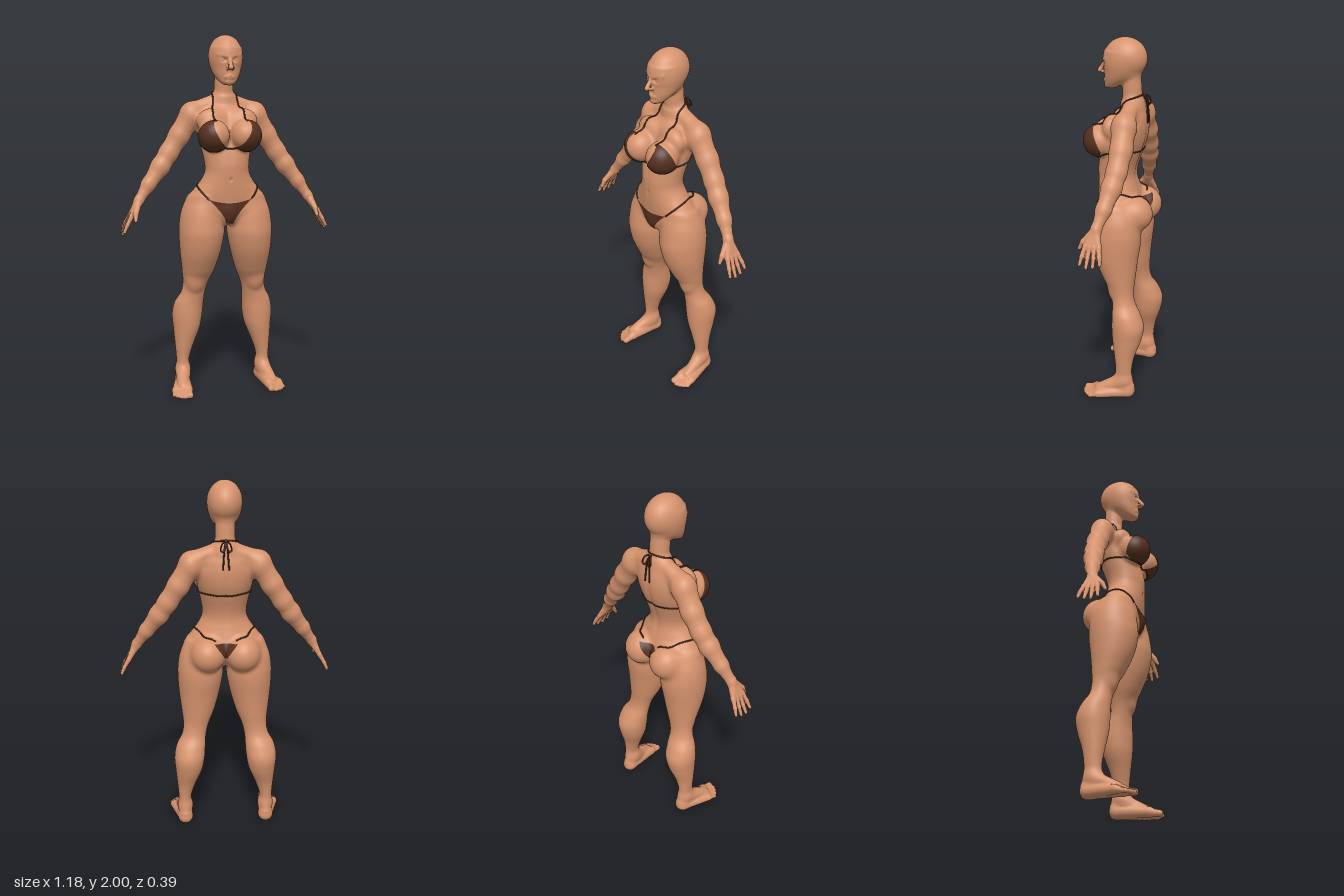
import * as THREE from 'three';

const skin = new THREE.MeshStandardMaterial({ color: 0xd6936d });
skin.name = 'skin';
const fabric = new THREE.MeshStandardMaterial({ color: 0x55301f, side: THREE.DoubleSide });
fabric.name = 'brown fabric';

// ---- Distance-field shapes, joined with a soft blend ----
const smin = (a, b, k) => { const h = Math.max(k - Math.abs(a - b), 0) / k; return Math.min(a, b) - h * h * k / 4; };
const smax = (a, b, k) => -smin(-a, -b, k);
const blend = (shapes, k) => (x, y, z) => shapes.reduce((d, s) => smin(d, s(x, y, z), k), 9);

const ellipsoid = (cx, cy, cz, rx, ry, rz) => (x, y, z) => {
  const a = (x - cx) / rx, b = (y - cy) / ry, c = (z - cz) / rz;
  const k0 = Math.sqrt(a * a + b * b + c * c) + 1e-9;
  const k1 = Math.sqrt((a / rx) ** 2 + (b / ry) ** 2 + (c / rz) ** 2) + 1e-9;
  return k0 * (k0 - 1) / k1;
};
const cone = ([ax, ay, az, ra], [bx, by, bz, rb]) => {
  const ux = bx - ax, uy = by - ay, uz = bz - az, len2 = ux * ux + uy * uy + uz * uz;
  return (x, y, z) => {
    const px = x - ax, py = y - ay, pz = z - az;
    const h = Math.min(1, Math.max(0, (px * ux + py * uy + pz * uz) / len2));
    return Math.sqrt((px - ux * h) ** 2 + (py - uy * h) ** 2 + (pz - uz * h) ** 2) - ra - (rb - ra) * h;
  };
};
const chain = (...p) => p.slice(1).map((q, i) => cone(p[i], q));

// Upright loft through elliptical sections [y, xMin, xMax, zBack, zFront], listed upwards
const loft = (rows) => {
  const n = rows.length - 1, s = [0, 0, 0, 0];
  let last = NaN;
  const slope = (i, c) => {
    const a = rows[Math.max(i - 1, 0)], b = rows[Math.min(i + 1, n)];
    return (b[c] - a[c]) / (b[0] - a[0]);
  };
  return (x, y, z) => {
    const yc = Math.min(rows[n][0], Math.max(rows[0][0], y));
    if (yc !== last) {
      last = yc;
      let i = 0;
      while (i < n - 1 && yc > rows[i + 1][0]) i++;
      const h = rows[i + 1][0] - rows[i][0], t = (yc - rows[i][0]) / h, t2 = t * t, t3 = t2 * t;
      for (let c = 1; c < 5; c++) {
        s[c - 1] = (2 * t3 - 3 * t2 + 1) * rows[i][c] + (3 * t2 - 2 * t3) * rows[i + 1][c]
          + h * ((t3 - 2 * t2 + t) * slope(i, c) + (t3 - t2) * slope(i + 1, c));
      }
    }
    const rx = (s[1] - s[0]) / 2, rz = (s[3] - s[2]) / 2;
    const a = (x - s[0] - rx) / rx, b = (z - s[2] - rz) / rz;
    const k0 = Math.sqrt(a * a + b * b) + 1e-9, k1 = Math.sqrt((a / rx) ** 2 + (b / rz) ** 2) + 1e-9;
    const d = k0 * (k0 - 1) / k1, dy = y - yc;
    return dy === 0 ? d : d > 0 ? Math.hypot(d, dy) : Math.max(d, Math.abs(dy));
  };
};
const even = rows => rows.map(([y, w, b, f]) => [y, -w, w, b, f]);

// ---- Body, defined for the +x half and mirrored ----
const trunk = loft(even([[0.98, 0.06, -0.06, 0.07], [1.03, 0.2, -0.11, 0.108], [1.1, 0.222, -0.115, 0.122],
  [1.15, 0.19, -0.1, 0.128], [1.2, 0.15, -0.085, 0.132], [1.25, 0.125, -0.075, 0.135], [1.3, 0.124, -0.08, 0.135],
  [1.38, 0.138, -0.105, 0.122], [1.45, 0.152, -0.128, 0.1], [1.52, 0.16, -0.137, 0.075], [1.58, 0.14, -0.132, 0.045],
  [1.62, 0.085, -0.122, 0.015], [1.66, 0.054, -0.108, 0.005]]));
const leg = loft([[0.07, 0.202, 0.27, -0.135, -0.01], [0.12, 0.2, 0.272, -0.125, -0.025], [0.17, 0.2, 0.274, -0.122, -0.03],
  [0.25, 0.175, 0.28, -0.135, -0.02], [0.35, 0.135, 0.288, -0.168, -0.005], [0.43, 0.12, 0.293, -0.18, 0],
  [0.5, 0.115, 0.28, -0.155, 0], [0.56, 0.11, 0.248, -0.12, 0.005], [0.62, 0.095, 0.238, -0.11, 0.02],
  [0.7, 0.062, 0.246, -0.115, 0.065], [0.8, 0.032, 0.258, -0.125, 0.11], [0.9, 0.012, 0.264, -0.138, 0.132],
  [0.97, 0.008, 0.262, -0.138, 0.128], [1.05, 0.01, 0.246, -0.125, 0.115], [1.12, 0.03, 0.205, -0.1, 0.09]]);
const softParts = blend([trunk, leg, ellipsoid(0, 1.03, 0.06, 0.07, 0.07, 0.06),
  ellipsoid(0.175, 0.63, -0.002, 0.04, 0.05, 0.03), ellipsoid(0.09, 1.53, 0.035, 0.08, 0.07, 0.05),
  cone([0.03, 1.64, -0.06, 0.045], [0.18, 1.585, -0.06, 0.046])], 0.03);
const glute = ellipsoid(0.097, 1.06, -0.09, 0.096, 0.1, 0.103);
const breast = ellipsoid(0.088, 1.455, 0.103, 0.085, 0.087, 0.09);
const arm = blend([ellipsoid(0.182, 1.56, -0.06, 0.062, 0.07, 0.066),
  ...chain([0.19, 1.55, -0.06, 0.062], [0.25, 1.45, -0.065, 0.058], [0.31, 1.355, -0.06, 0.053],
    [0.36, 1.28, -0.048, 0.052], [0.43, 1.185, -0.028, 0.039], [0.487, 1.1, -0.008, 0.026])], 0.02);

// Palm, four fingers and thumb
const handParts = [], wrist = [0.487, 1.1, -0.006, 0.025];
[0.012, 0, 0.006, 0.02].forEach((short, i) => {
  const s = 1.5 - i, base = [0.532, 1.02, s * 0.024, 0.014];
  handParts.push(cone(wrist, base), ...chain(base, [0.558, 0.968 + short / 2, s * 0.031, 0.0115],
    [0.58 - short / 3, 0.923 + short, s * 0.036, 0.0095]));
});
handParts.push(...chain([0.495, 1.08, 0.015, 0.019], [0.512, 1.035, 0.055, 0.015], [0.515, 1.0, 0.074, 0.01]));
const hand = blend(handParts, 0.006);

// Foot with five toes
const footParts = [cone([0.237, 0.1, -0.075, 0.042], [0.262, 0.04, 0.06, 0.03]),
  cone([0.235, 0.04, -0.1, 0.042], [0.237, 0.03, 0.08, 0.029]), cone([0.24, 0.035, -0.095, 0.038], [0.3, 0.022, 0.06, 0.024])];
[[0.235, 0.14, 0.019], [0.263, 0.146, 0.013], [0.284, 0.136, 0.012], [0.302, 0.121, 0.012], [0.318, 0.102, 0.011]]
  .forEach(([x, z, r], i) => footParts.push(cone([0.238 + i * 0.0165, 0.026, 0.08 - i * 0.006, r + 0.004], [x, r - 0.001, z, r])));
const foot = blend(footParts, 0.012);

// Skull, jaw, neck and facial features
const skull = blend([ellipsoid(0, 1.888, -0.012, 0.092, 0.11, 0.118), cone([0, 1.64, -0.055, 0.053], [0, 1.79, -0.045, 0.052]),
  loft(even([[1.728, 0.028, 0.04, 0.088], [1.74, 0.042, 0.02, 0.097], [1.76, 0.058, -0.02, 0.1], [1.79, 0.074, -0.06, 0.102],
    [1.82, 0.082, -0.08, 0.103], [1.86, 0.084, -0.08, 0.104], [1.92, 0.076, -0.06, 0.094]]))], 0.025);
const socket = ellipsoid(0.036, 1.861, 0.107, 0.022, 0.012, 0.016);
const eyeball = ellipsoid(0.035, 1.86, 0.083, 0.016, 0.014, 0.014);
const features = blend([cone([0, 1.868, 0.1, 0.009], [0, 1.818, 0.132, 0.013]), ellipsoid(0.013, 1.814, 0.113, 0.009, 0.008, 0.012),
  cone([0.014, 1.877, 0.098, 0.009], [0.06, 1.888, 0.074, 0.008]), cone([0, 1.774, 0.104, 0.007], [0.024, 1.769, 0.094, 0.004]),
  cone([0, 1.76, 0.102, 0.008], [0.021, 1.766, 0.094, 0.004]), ellipsoid(0, 1.743, 0.086, 0.022, 0.018, 0.02)], 0.006);
const navel = ellipsoid(0, 1.217, 0.14, 0.008, 0.012, 0.014);

function field(px, y, z) {
  const x = Math.abs(px);
  let d = smin(softParts(x, y, z), arm(x, y, z), 0.03);
  d = smin(smin(d, glute(x, y, z), 0.025), breast(x, y, z), 0.022);
  if (y > 1.1 && y < 1.64) { // spine and belly line
    d += 0.006 * Math.exp(-((x / 0.018) ** 2)) * Math.sin((y - 1.1) / 0.54 * Math.PI) * (z < 0 ? 1 : 0.4);
    d = smax(d, -navel(x, y, z), 0.008);
  }
  if (x > 0.38) d = smin(d, hand(x, y, z), 0.015);
  if (y < 0.3) d = Math.max(smin(d, foot(x, y, z), 0.025), -y);
  if (y > 1.55) {
    d = smin(d, skull(x, y, z), 0.03);
    if (y > 1.68) d = smin(smin(smax(d, -socket(x, y, z), 0.012), eyeball(x, y, z), 0.004), features(x, y, z), 0.01);
  }
  return d;
}
function gradient(x, y, z) {
  const e = 0.0015;
  return new THREE.Vector3(field(x + e, y, z) - field(x - e, y, z), field(x, y + e, z) - field(x, y - e, z),
    field(x, y, z + e) - field(x, y, z - e)).divideScalar(2 * e);
}
// Move a point to the given height above the skin
function snap(p, height, steps) {
  for (let i = 0; i < steps; i++) {
    const g = gradient(p.x, p.y, p.z);
    p.addScaledVector(g, -Math.max(-0.02, Math.min(0.02, (field(p.x, p.y, p.z) - height) / Math.max(g.lengthSq(), 0.2))));
  }
  return p;
}
// Slide a point along a direction until it rests just above the skin
function march(p, dir) {
  for (let i = 0; i < 60; i++) p.addScaledVector(dir, (field(p.x, p.y, p.z) - 0.004) * 0.7);
  return p;
}

function partName(x, y) {
  const side = x > 0 ? 'left' : 'right', a = Math.abs(x);
  if (y > 1.69) return 'head';
  if (y > 0.85 && a > 0.17 + (1.56 - y) * 0.3) return side + (y < 1.1 ? 'Hand' : 'Arm');
  if (y < 0.97) return side + (y < 0.1 ? 'Foot' : 'Leg');
  return 'torso';
}

// Skin the field with a quad net and sort the quads into named parts
function buildSkin(group) {
  const h = 0.009, half = 68, N = [half * 2 + 1, 227, 50], O = [-half * h, -0.0105, -0.217];
  const step = [1, N[0], N[0] * N[1]], v = new Float32Array(N[0] * N[1] * N[2]), cells = new Map(), parts = {};
  const at = (i, j, k) => i + j * step[1] + k * step[2];
  for (let j = 0; j < N[1]; j++) for (let k = 0; k < N[2]; k++) for (let i = 0; i <= half; i++)
    v[at(half + i, j, k)] = v[at(half - i, j, k)] = field(i * h, O[1] + j * h, O[2] + k * h);
  const vertex = (c) => {
    if (cells.has(c)) return cells.get(c);
    const base = [c % N[0], Math.floor(c / step[1]) % N[1], Math.floor(c / step[2])], sum = [0, 0, 0];
    let n = 0;
    for (let a = 0; a < 3; a++) for (let m = 0; m < 4; m++) {
      const b = (a + 1) % 3, d = (a + 2) % 3, s = c + (m & 1) * step[b] + (m >> 1) * step[d];
      const f0 = v[s], f1 = v[s + step[a]];
      if ((f0 < 0) === (f1 < 0)) continue;
      sum[a] += f0 / (f0 - f1); sum[b] += m & 1; sum[d] += m >> 1; n++;
    }
    const p = snap(new THREE.Vector3(...sum.map((q, a) => O[a] + (base[a] + q / n) * h)), 0, 1);
    const out = { p, n: gradient(p.x, p.y, p.z).normalize() };
    cells.set(c, out);
    return out;
  };
  for (let k = 1; k < N[2] - 1; k++) for (let j = 1; j < N[1] - 1; j++) for (let i = 1; i < N[0] - 1; i++) {
    const s = at(i, j, k);
    for (let a = 0; a < 3; a++) {
      const inside = v[s] < 0;
      if (inside === (v[s + step[a]] < 0)) continue;
      const b = step[(a + 1) % 3], c = step[(a + 2) % 3], q = [s - b - c, s - c, s, s - b];
      if (!inside) q.reverse();
      const name = partName(O[0] + i * h, O[1] + j * h);
      const part = parts[name] ??= { ids: new Map(), pos: [], nor: [], idx: [] };
      const id = q.map((cell) => {
        if (!part.ids.has(cell)) {
          const w = vertex(cell);
          part.ids.set(cell, part.ids.size);
          part.pos.push(...w.p.toArray()); part.nor.push(...w.n.toArray());
        }
        return part.ids.get(cell);
      });
      part.idx.push(id[0], id[1], id[2], id[0], id[2], id[3]);
    }
  }
  for (const [name, part] of Object.entries(parts)) {
    const g = new THREE.BufferGeometry();
    g.setAttribute('position', new THREE.Float32BufferAttribute(part.pos, 3));
    g.setAttribute('normal', new THREE.Float32BufferAttribute(part.nor, 3));
    g.setIndex(part.idx);
    add(group, name, g, skin);
  }
}

function add(group, name, geometry, material) {
  const mesh = new THREE.Mesh(geometry, material);
  mesh.name = name;
  group.add(mesh);
}
// Cloth sheet: rule(u, v) gives each resting point
function sheet(group, name, rule) {
  const g = new THREE.PlaneGeometry(1, 1, 20, 20), pos = g.attributes.position, uv = g.attributes.uv;
  for (let i = 0; i < pos.count; i++) pos.setXYZ(i, ...rule(uv.getX(i), uv.getY(i)).toArray());
  g.computeVertexNormals();
  add(group, name, g, fabric);
}
// Cord through guide points, resting on the skin unless loose
function cord(group, name, points, side, loose = false) {
  let pts = new THREE.CatmullRomCurve3(points.map(p => new THREE.Vector3(p[0] * side, p[1], p[2]))).getPoints(30);
  if (!loose) pts = pts.map(p => snap(p, 0.002, 5));
  add(group, name, new THREE.TubeGeometry(new THREE.CatmullRomCurve3(pts), 40, 0.0045, 5), fabric);
}

export function createModel() {
  const group = new THREE.Group();
  group.name = 'swimsuitFigure';
  buildSkin(group);

  for (const side of [1, -1]) {
    const s = side > 0 ? 'left' : 'right', V = (x, y, z) => new THREE.Vector3(x * side, y, z);
    // Triangular cup wrapped around the bust
    const centre = V(0.088, 1.455, 0.08), top = V(0.085, 1.55, 0.14), inner = V(0.02, 1.385, 0.14), outer = V(0.168, 1.4, 0.075);
    sheet(group, s + 'Cup', (u, v) => {
      const p = inner.clone().lerp(outer, u).lerp(top, v), bow = Math.sin(Math.PI * v);
      p.add(V(0.04 * bow * (1 - u), 0, -0.012 * bow * u));
      const dir = p.sub(centre).normalize();
      return march(centre.clone().addScaledVector(dir, 0.1), dir.clone().negate());
    });
    cord(group, s + 'NeckStrap', [[0.085, 1.54, 0.15], [0.086, 1.6, 0.06], [0.074, 1.66, -0.01], [0.05, 1.69, -0.08], [0, 1.7, -0.11]], side);
    cord(group, s + 'BackBand', [[0, 1.385, 0.125], [0.03, 1.383, 0.14], [0.09, 1.372, 0.13], [0.145, 1.39, 0.06],
      [0.145, 1.4, -0.03], [0.09, 1.4, -0.1], [0, 1.4, -0.11]], side);
    cord(group, s + 'HipString', [[0.12, 1.108, 0.11], [0.155, 1.15, 0.08], [0.17, 1.182, 0.02], [0.155, 1.187, -0.04],
      [0.11, 1.165, -0.1], [0.06, 1.14, -0.12]], side);
    // Bow at the nape
    cord(group, s + 'BowLoop', [[0, 1.7, -0.115], [0.02, 1.69, -0.135], [0.028, 1.655, -0.145], [0.014, 1.65, -0.145], [0, 1.695, -0.12]], side, true);
    cord(group, s + 'BowTail', [[0, 1.7, -0.115], [0.008, 1.66, -0.132], [0.012, 1.61, -0.138], [0.016, 1.55, -0.142]], side, true);
  }
  add(group, 'bowKnot', new THREE.SphereGeometry(0.009, 12, 8).translate(0, 1.7, -0.118), fabric);

  // Front and back panels of the bottoms
  sheet(group, 'frontPanel', (u, v) => {
    const a = u * 2 - 1;
    return march(new THREE.Vector3(a * (0.022 + 0.1 * v ** 1.5), 0.972 + 0.115 * v + 0.022 * v * a * a, 0.2), new THREE.Vector3(0, 0, -1));
  });
  sheet(group, 'backPanel', (u, v) => {
    const a = u * 2 - 1;
    return march(new THREE.Vector3(a * (0.007 + 0.056 * v ** 1.3), 1.05 + 0.08 * v + 0.01 * v * a * a, -0.24), new THREE.Vector3(0, 0, 1));
  });
  return group;
}
